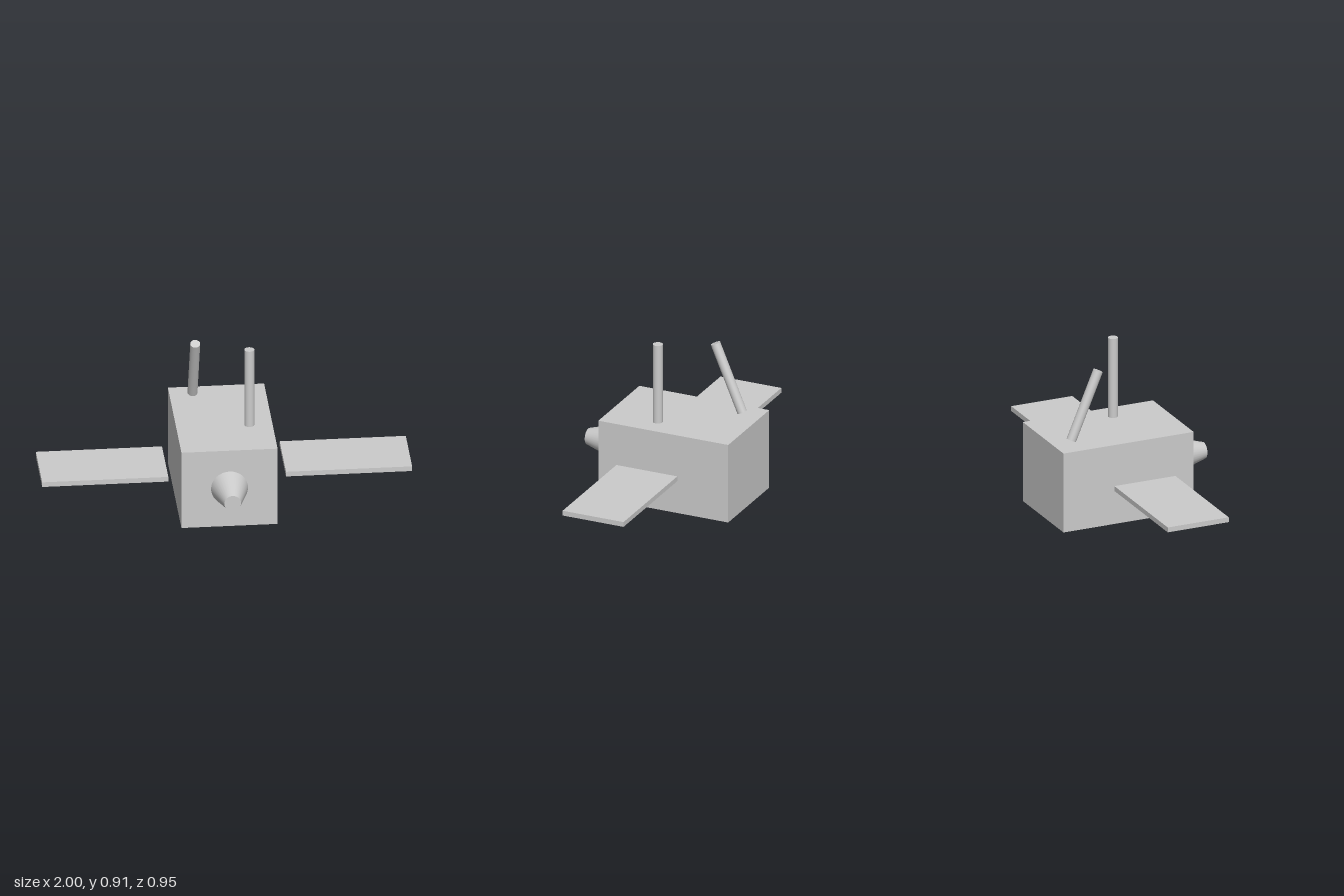
import * as THREE from 'three';

const material = new THREE.MeshStandardMaterial({ color: 0xcccccc });

export function createModel() {
  const model = new THREE.Group();

  const add = (name, geometry, x, y, z, tilt = 0) => {
    const mesh = new THREE.Mesh(geometry, material);
    mesh.name = name;
    mesh.position.set(x, y, z);
    mesh.rotation.x = tilt;
    model.add(mesh);
  };

  // Main box
  add('body', new THREE.BoxGeometry(0.52, 0.455, 0.772), 0, 0.2275, -0.091);

  // Tapered nozzle, narrow end forward
  add('nozzle', new THREE.CylinderGeometry(0.045, 0.1, 0.182, 32), 0, 0.229, 0.386, Math.PI / 2);

  // Flat panels floating beside the body
  for (const [side, name] of [[1, 'leftPanel'], [-1, 'rightPanel']]) {
    add(name, new THREE.BoxGeometry(0.682, 0.028, 0.362), side * 0.659, 0.229, -0.021);
  }

  // Upright rod and forward-leaning rod on the roof
  add('uprightAntenna', new THREE.CylinderGeometry(0.027, 0.027, 0.455, 32), 0.135, 0.6825, 0);
  add('tiltedAntenna', new THREE.CylinderGeometry(0.027, 0.027, 0.406, 32), -0.137, 0.661, -0.294, 0.4);

  return model;
}
